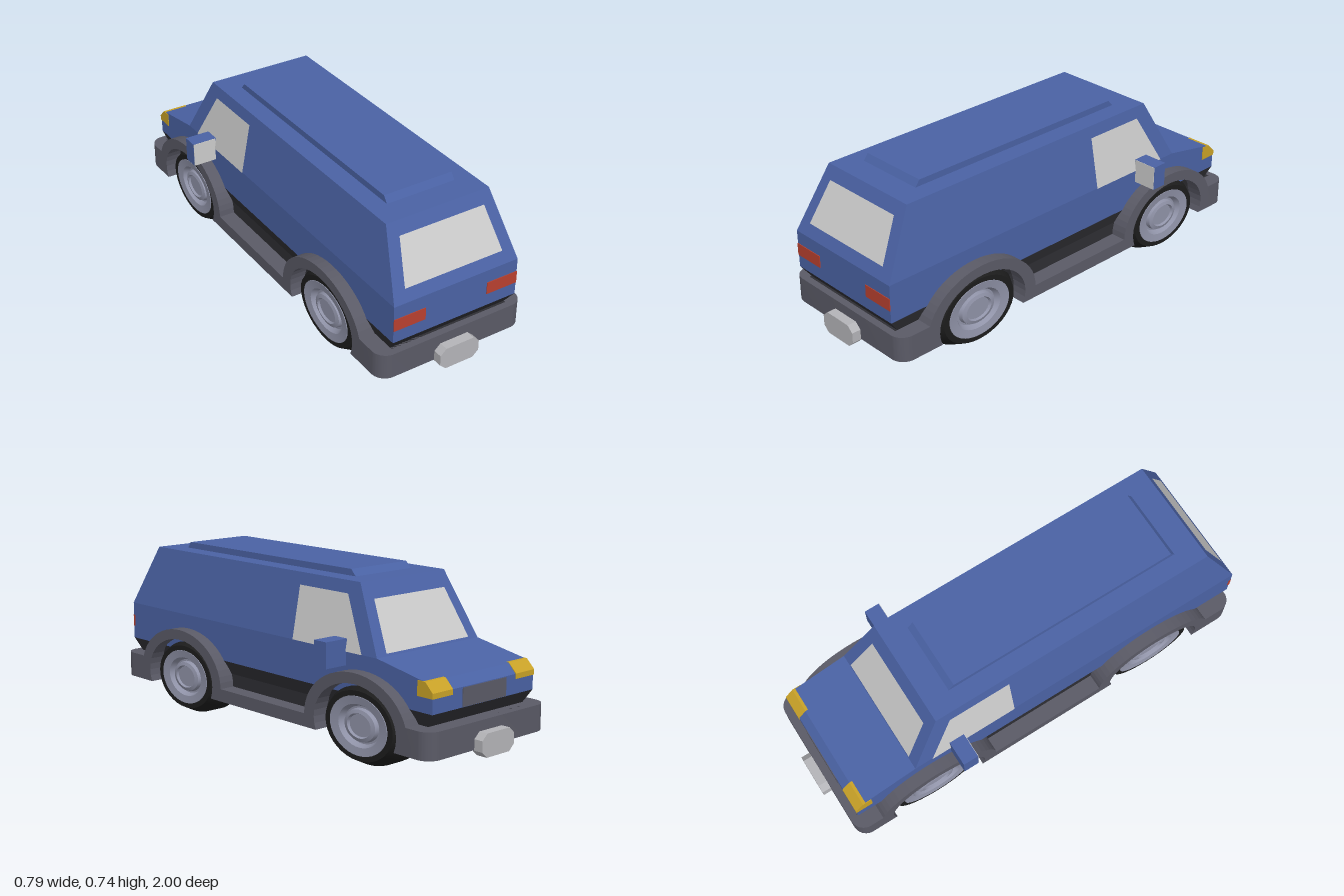
import * as THREE from 'three';
import { toCreasedNormals } from 'three/addons/utils/BufferGeometryUtils.js';

const mat = (color, extra = {}) => new THREE.MeshStandardMaterial({ color, ...extra });
const PAINT = mat(0x4a62a4);
const TRIM = mat(0x5a5a66);
const DARK = mat(0x2e2e33);
const RUBBER = mat(0x1c1c1c);
const RIM = mat(0x9093a8);
const PLATE = mat(0xb4b4b8);
const AMBER = mat(0xc9a227);
const RED = mat(0xb8402f);
const GLASS = mat(0xcccccc, { side: THREE.DoubleSide });

export function createModel() {
  const model = new THREE.Group();

  function add(name, geometry, material, parent = model) {
    const mesh = new THREE.Mesh(geometry, material);
    mesh.name = name;
    parent.add(mesh);
    return mesh;
  }

  // Box given by its limits
  function block(x0, x1, y0, y1, z0, z1) {
    return new THREE.BoxGeometry(x1 - x0, y1 - y0, z1 - z0)
      .translate((x0 + x1) / 2, (y0 + y1) / 2, (z0 + z1) / 2);
  }

  // Box with separate bottom and top rectangles, each [half width, z min, z max]
  function frustum(y0, low, y1, high) {
    const g = new THREE.BoxGeometry(2, 2, 2);
    const p = g.attributes.position;
    for (let i = 0; i < p.count; i++) {
      const [w, z0, z1] = p.getY(i) > 0 ? high : low;
      p.setXYZ(i, p.getX(i) * w, p.getY(i) > 0 ? y1 : y0, p.getZ(i) > 0 ? z1 : z0);
    }
    g.computeVertexNormals();
    return g;
  }

  // Side profile of [z, y] points, extruded from x0 to x1
  function extrudeX(points, x0, x1) {
    const shape = new THREE.Shape(points.map(([z, y]) => new THREE.Vector2(-z, y)));
    return new THREE.ExtrudeGeometry(shape, { depth: x1 - x0, bevelEnabled: false })
      .rotateY(Math.PI / 2).translate(x0, 0, 0);
  }

  // Flat four-cornered pane
  function pane(corners) {
    const g = new THREE.BufferGeometry();
    g.setAttribute('position', new THREE.Float32BufferAttribute(corners.flat(), 3));
    g.setIndex([0, 1, 2, 0, 2, 3]);
    g.computeVertexNormals();
    return g;
  }

  // Painted body and cabin
  add('lowerBody', extrudeX([
    [0.96, 0.275], [0.96, 0.44], [-0.635, 0.44], [-0.89, 0.393], [-0.925, 0.355], [-0.925, 0.275],
  ], -0.29, 0.29), PAINT);
  add('cabin', frustum(0.44, [0.29, -0.635, 0.96], 0.71, [0.238, -0.49, 0.82]), PAINT);
  add('roofPanel', frustum(0.71, [0.157, -0.38, 0.71], 0.737, [0.157, -0.355, 0.69]), PAINT);

  // Dark underside
  add('lowerTrim', frustum(0.22, [0.273, -0.89, 0.92], 0.275, [0.29, -0.925, 0.96]), DARK);
  add('floor', block(-0.273, 0.273, 0.111, 0.22, -0.93, 0.93), DARK);

  // Windows lie just proud of the sloping cabin faces
  const gap = 0.003;
  const screenZ = (y) => -0.635 + (y - 0.44) * 0.537 - gap;
  const rearZ = (y) => 0.96 - (y - 0.44) * 0.519 + gap;
  const sideX = (y) => 0.29 - (y - 0.44) * 0.193 + gap;
  add('windscreen', pane([
    [0.235, 0.45, screenZ(0.45)], [-0.235, 0.45, screenZ(0.45)],
    [-0.2, 0.645, screenZ(0.645)], [0.2, 0.645, screenZ(0.645)],
  ]), GLASS);
  add('rearWindow', pane([
    [-0.228, 0.488, rearZ(0.488)], [0.228, 0.488, rearZ(0.488)],
    [0.196, 0.66, rearZ(0.66)], [-0.196, 0.66, rearZ(0.66)],
  ]), GLASS);

  // Ellipse points around a wheel centre
  function arc(z, rz, ry, from, to) {
    return Array.from({ length: 25 }, (_, i) => {
      const a = from + (to - from) * i / 24;
      return [z - rz * Math.cos(a), 0.165 + ry * Math.sin(a)];
    });
  }

  // Sill with both wheel arches in one strip
  const REAR = 0.54, FRONT = -0.565;
  const sill = [
    [0.83, 0.11], [0.83, 0.22],
    ...arc(REAR, 0.285, 0.215, Math.PI - 0.258, 0),
    ...arc(FRONT, 0.285, 0.215, Math.PI, 0.258),
    [-0.85, 0.22], [-0.85, 0.11],
    ...arc(FRONT, 0.228, 0.171, -0.327, Math.PI + 0.327),
    ...arc(REAR, 0.228, 0.171, -0.327, Math.PI + 0.327),
  ];

  // Wheel profiles, radius against width
  const lathe = (points) => toCreasedNormals(
    new THREE.LatheGeometry(points.map(([r, h]) => new THREE.Vector2(r, h)), 36), 0.45,
  ).rotateZ(-Math.PI / 2);
  const tyre = lathe([
    [0, -0.0925], [0.186, -0.0925], [0.22, -0.04], [0.22, 0.04], [0.186, 0.0925], [0.155, 0.0925], [0.15, 0.07],
  ]);
  const rim = lathe([
    [0.162, 0.08], [0.158, 0.095], [0.115, 0.09], [0.1, 0.068], [0.09, 0.068],
    [0.085, 0.085], [0.066, 0.09], [0.06, 0.08], [0, 0.08],
  ]);

  // Parts repeated on each side
  for (const s of [1, -1]) {
    const side = s > 0 ? 'left' : 'right';
    const span = (a, b) => (s > 0 ? [a, b] : [-b, -a]);

    add(side + 'SillAndArches', extrudeX(sill, ...span(0.262, 0.343)), TRIM);
    add(side + 'SideWindow', pane([
      [s * sideX(0.44), 0.44, -0.155], [s * sideX(0.44), 0.44, -0.555],
      [s * sideX(0.66), 0.66, -0.435], [s * sideX(0.66), 0.66, -0.155],
    ].slice()[s > 0 ? 'slice' : 'reverse']()), GLASS);
    add(side + 'Mirror', block(...span(0.285, 0.395), 0.385, 0.491, -0.465, -0.397), PAINT);
    add(side + 'MirrorGlass', block(...span(0.287, 0.394), 0.386, 0.49, -0.4, -0.395), GLASS);
    add(side + 'TailLight', block(...span(0.145, 0.29), 0.33, 0.383, 0.95, 0.963), RED);
    add(side + 'HeadLight', extrudeX([
      [-0.85, 0.335], [-0.85, 0.396], [-0.89, 0.395], [-0.928, 0.357], [-0.928, 0.335],
    ], ...span(0.182, 0.293)), AMBER);

    for (const [end, z] of [['Front', FRONT], ['Rear', REAR]]) {
      const wheel = new THREE.Group();
      wheel.name = side + end + 'Wheel';
      wheel.position.set(s * 0.2255, 0.165, z);
      wheel.rotation.y = s > 0 ? 0 : Math.PI;
      wheel.scale.y = 0.75;
      add('tyre', tyre, RUBBER, wheel);
      add('rim', rim, RIM, wheel);
      model.add(wheel);
    }
  }

  add('grille', block(-0.125, 0.125, 0.277, 0.352, -0.928, -0.9), TRIM);

  // Round-cornered bumpers, each with an eight-sided plate
  const plan = new THREE.Shape();
  plan.moveTo(-0.343, 0.81);
  plan.lineTo(0.343, 0.81);
  plan.absarc(0.283, 0.9, 0.06, 0, Math.PI / 2, false);
  plan.absarc(-0.283, 0.9, 0.06, Math.PI / 2, Math.PI, false);
  const bumper = toCreasedNormals(
    new THREE.ExtrudeGeometry(plan, { depth: 0.11, bevelEnabled: false, curveSegments: 8 }), 0.5,
  ).rotateX(Math.PI / 2).translate(0, 0.22, 0);

  const octagon = new THREE.Shape([
    [-0.065, 0.083], [0.065, 0.083], [0.092, 0.108], [0.092, 0.153],
    [0.065, 0.178], [-0.065, 0.178], [-0.092, 0.153], [-0.092, 0.108],
  ].map(([x, y]) => new THREE.Vector2(x, y)));
  const plate = new THREE.ExtrudeGeometry(octagon, { depth: 0.05, bevelEnabled: false }).translate(0, 0, 0.95);

  for (const [name, turn] of [['rearBumper', 0], ['frontBumper', Math.PI]]) {
    const group = new THREE.Group();
    group.name = name;
    group.rotation.y = turn;
    add('bumperBar', bumper, TRIM, group);
    add('bumperPlate', plate, PLATE, group);
    model.add(group);
  }

  return model;
}
